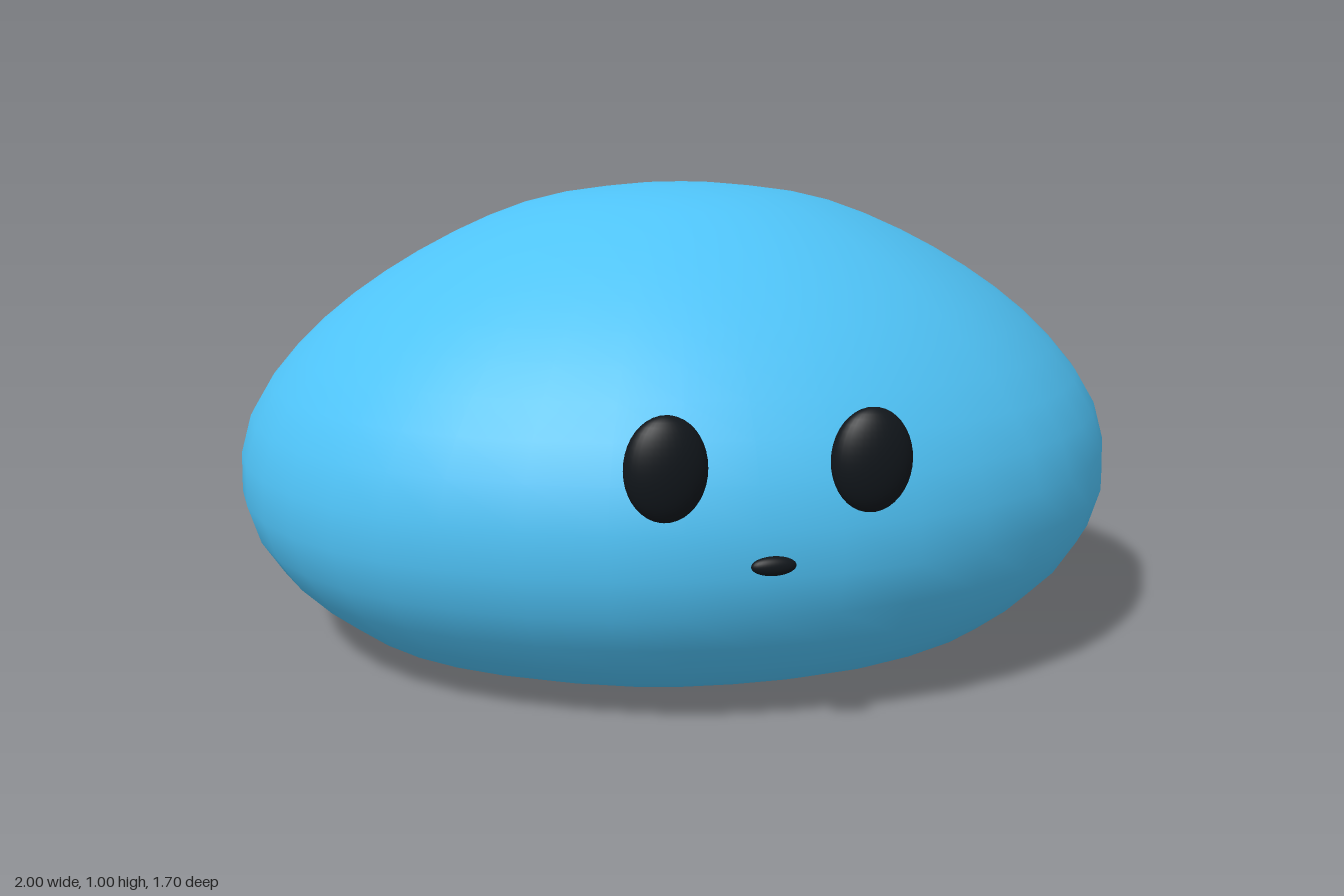
import * as THREE from 'three';
import { mergeVertices } from 'three/addons/utils/BufferGeometryUtils.js';

const SIDES = 40, ROWS = 28;
const CENTRE = { x: -0.02, z: -0.04 };

// widest outline of the body as x, z, starting at -x and running round the front
const plan = new THREE.CatmullRomCurve3([
  [-1, -0.1], [-0.94, 0.19], [-0.8, 0.43], [-0.6, 0.6], [-0.3, 0.735], [-0.02, 0.772],
  [0.3, 0.735], [0.6, 0.59], [0.8, 0.4], [0.95, 0.14], [1, -0.09], [0.92, -0.366],
  [0.77, -0.56], [0.58, -0.7], [0.3, -0.81], [-0.02, -0.85], [-0.315, -0.826],
  [-0.6, -0.735], [-0.84, -0.55], [-0.97, -0.32],
].map(([x, z]) => new THREE.Vector3(x, 0, z)), true);

// outline scale against height, from the crown to the flattened base
const profile = new THREE.SplineCurve([
  [0, 1], [0.12, 0.997], [0.34, 0.96], [0.58, 0.855], [0.8, 0.705], [0.955, 0.53],
  [1, 0.37], [0.97, 0.24], [0.88, 0.13], [0.735, 0.04], [0.47, 0.01], [0, 0],
].map(([r, y]) => new THREE.Vector2(r, y)));

// a sphere grid re-shaped so each row is the plan outline scaled by the profile
function bodyGeometry() {
  const geometry = new THREE.SphereGeometry(1, SIDES, ROWS);
  const position = geometry.attributes.position;
  for (let row = 0; row <= ROWS; row++) {
    const p = profile.getPointAt(row / ROWS);
    for (let side = 0; side <= SIDES; side++) {
      const q = plan.getPoint((side % SIDES) / SIDES);
      position.setXYZ(row * (SIDES + 1) + side,
        CENTRE.x + (q.x - CENTRE.x) * p.x, p.y, CENTRE.z + (q.z - CENTRE.z) * p.x);
    }
  }
  // weld the seam and poles for smooth shading
  geometry.deleteAttribute('uv');
  geometry.deleteAttribute('normal');
  const welded = mergeVertices(geometry, 1e-5);
  welded.computeVertexNormals();
  return welded;
}

export function createModel() {
  const model = new THREE.Group();
  model.name = 'blobCreature';
  const skin = new THREE.MeshStandardMaterial({ color: 0x4fc3f7 });
  const dark = new THREE.MeshStandardMaterial({ color: 0x11161b });

  const body = new THREE.Mesh(bodyGeometry(), skin);
  body.name = 'body';
  model.add(body);

  // eyes and mouth are flattened spheres floating just off the face
  const ball = new THREE.SphereGeometry(1, 32, 20);
  const addSpot = (name, position, radii) => {
    const spot = new THREE.Mesh(ball, dark);
    spot.name = name;
    spot.position.set(...position);
    spot.scale.set(...radii);
    model.add(spot);
  };
  addSpot('rightEye', [-0.205, 0.55, 0.803], [0.077, 0.098, 0.039]);
  addSpot('leftEye', [0.176, 0.55, 0.803], [0.077, 0.098, 0.039]);
  addSpot('mouth', [-0.014, 0.37, 0.835], [0.042, 0.018, 0.015]);
  return model;
}
